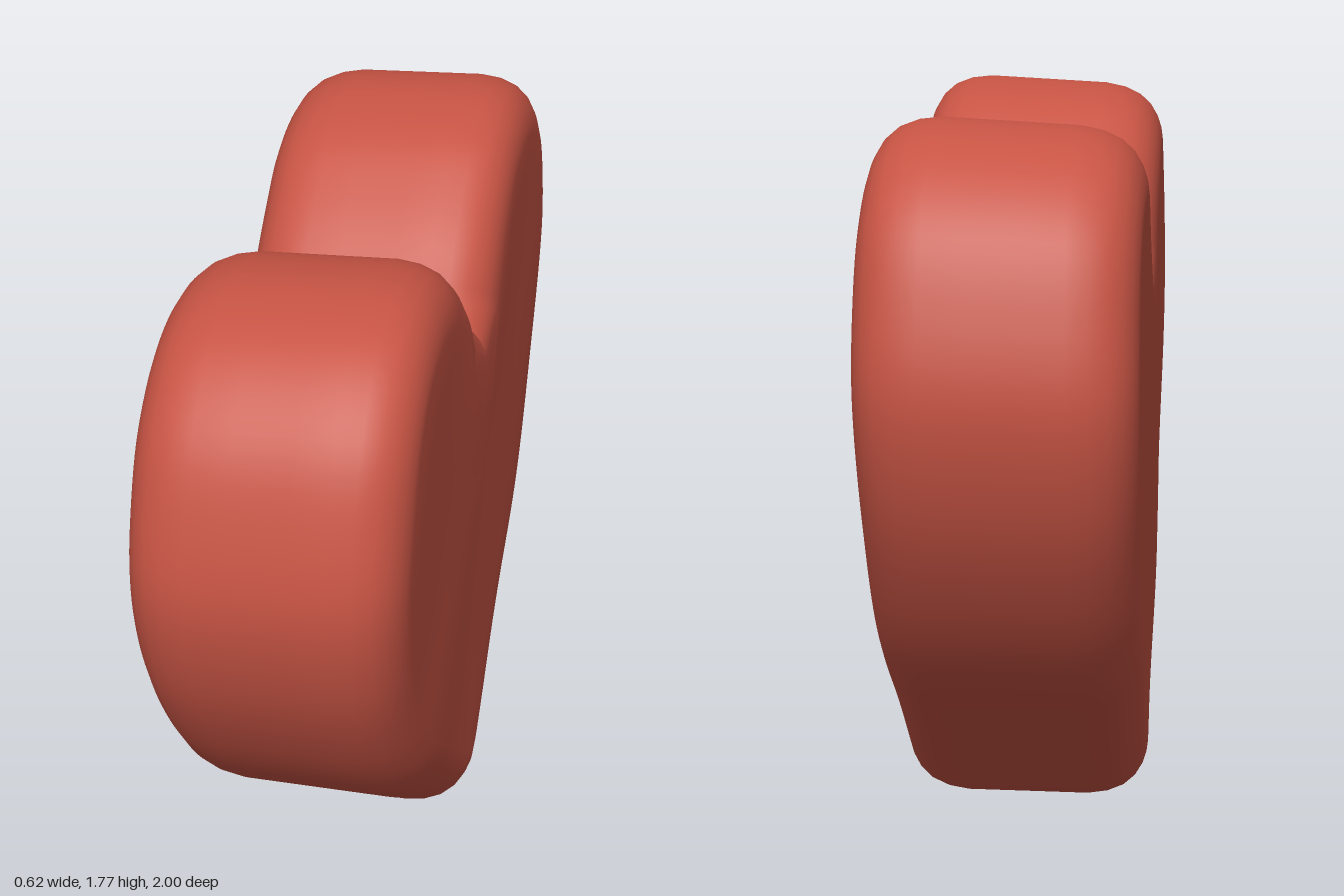
import * as THREE from 'three';

// Half outline as [z, y], from the cleft over the lobe down to the tip
const HALF = [
  [0, 1.42], [0.08, 1.535], [0.185, 1.635], [0.33, 1.73], [0.55, 1.768], [0.74, 1.722],
  [0.89, 1.59], [0.97, 1.405], [1.0, 1.22], [0.954, 0.99], [0.835, 0.748], [0.66, 0.517],
  [0.44, 0.318], [0.185, 0.1], [0.105, 0.035], [0, 0],
];

// Edge profile as [x, inset, scale towards the middle]
const EDGE = [
  [0.07, 0, 1], [0.15, 0, 1], [0.2, 0.008, 1], [0.24, 0.025, 1], [0.268, 0.05, 1],
  [0.286, 0.08, 1], [0.296, 0.11, 1], [0.3, 0.14, 1], [0.302, 0.14, 0.85],
  [0.304, 0.14, 0.6], [0.305, 0.14, 0.3], [0.305, 0.14, 0],
];

function heartGeometry(steps = 180) {
  const mirrored = HALF.slice(0, -1).reverse().map(([z, y]) => [-z, y]);
  const curve = new THREE.CatmullRomCurve3(
    [...HALF, ...mirrored].map(([z, y]) => new THREE.Vector3(0, y, z)), false, 'centripetal');
  const rings = [...EDGE.map(([x, d, s]) => [-x, d, s]).reverse(), ...EDGE];
  const midY = 1.0;
  const positions = [], index = [];

  for (const [x, inset, scale] of rings) {
    for (let i = 0; i <= steps; i++) {
      const p = curve.getPointAt(i / steps);
      const t = curve.getTangentAt(i / steps);
      let z = p.z + t.y * inset;
      let y = p.y - t.z * inset;
      // Both ends of the loop meet in a sharp crease at the cleft
      if (i === 0 || i === steps) { z = 0; y = p.y - inset * 0.75; }
      z *= scale;
      y = midY + (y - midY) * scale;
      // Slight hand-shaped waviness of the faces and slope of the top
      const wave = 0.004 * Math.sin(7 * z + 2) * Math.sin(5 * y + Math.sign(x));
      positions.push(x + wave * Math.min(1, Math.abs(x) / 0.3), y * (1 + 0.03 * (x - 0.12)), z);
    }
  }
  const n = steps + 1;
  for (let j = 0; j < rings.length - 1; j++) {
    for (let i = 0; i < steps; i++) {
      const a = j * n + i, b = a + 1, c = a + n, d = c + 1;
      index.push(a, b, c, b, d, c);
    }
  }
  const geometry = new THREE.BufferGeometry();
  geometry.setAttribute('position', new THREE.Float32BufferAttribute(positions, 3));
  geometry.setIndex(index);
  geometry.computeVertexNormals();
  geometry.computeBoundingBox();
  geometry.translate(0, -geometry.boundingBox.min.y, 0);
  return geometry;
}

export function createModel() {
  const red = new THREE.MeshStandardMaterial({ color: 0xc75444 });
  red.name = 'heart red';

  const group = new THREE.Group();
  group.name = 'heartModel';
  const heart = new THREE.Mesh(heartGeometry(), red);
  heart.name = 'heart';
  group.add(heart);
  return group;
}
